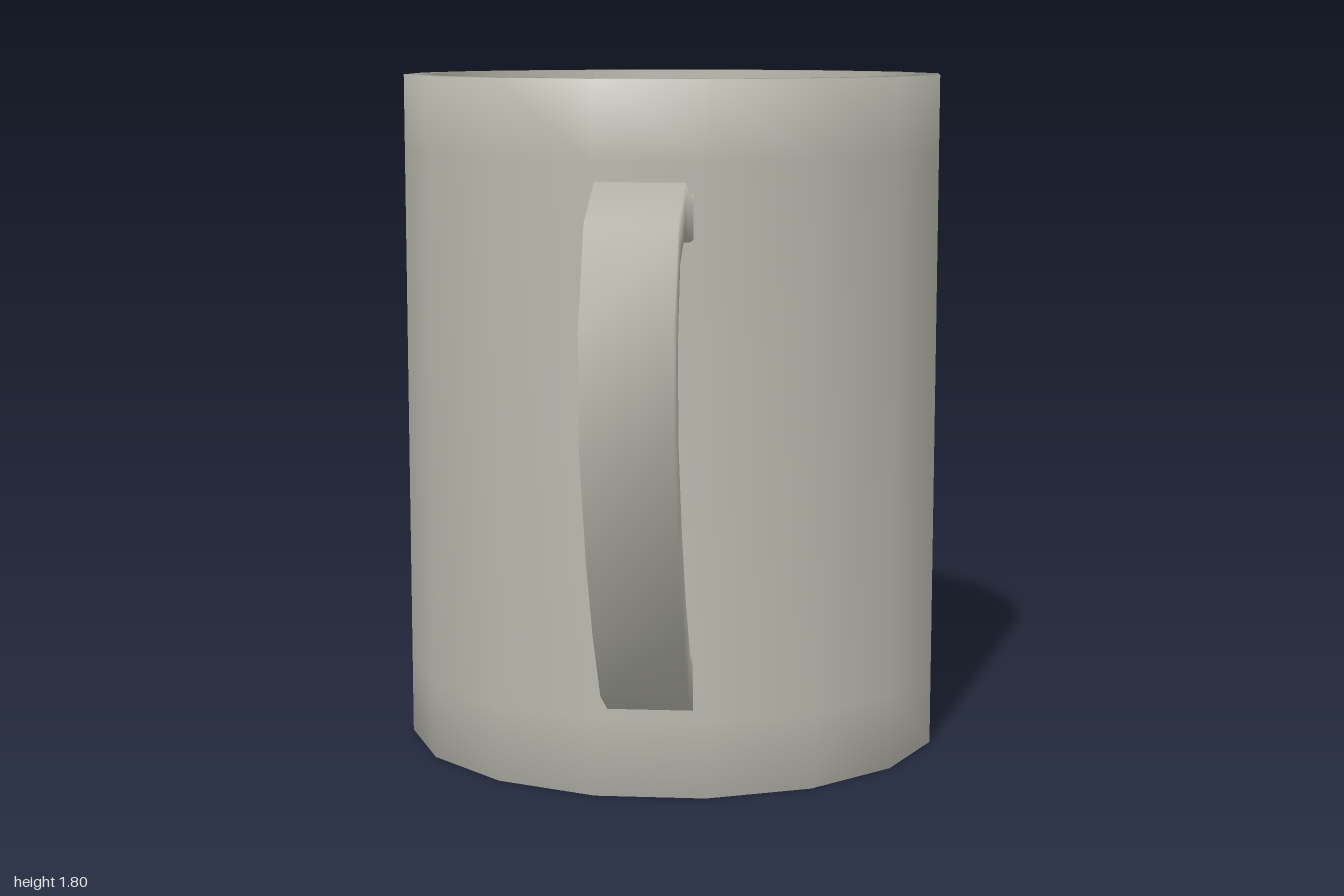
import * as THREE from 'three';
import { mergeVertices } from 'three/addons/utils/BufferGeometryUtils.js';

const ceramic = new THREE.MeshStandardMaterial({ color: 0xb9b8ae });
ceramic.name = 'warm grey ceramic';

// Weld shared corners so the shading runs smoothly over every edge
function smooth(geometry) {
  geometry.deleteAttribute('uv');
  geometry.deleteAttribute('normal');
  const welded = mergeVertices(geometry, 1e-4);
  welded.computeVertexNormals();
  return welded;
}

// Sixteen-sided cup: recessed foot, outer wall, rim, inner wall, floor
function createCup() {
  const outer = 0.725, inner = 0.652, height = 1.8;
  const profile = [
    [0, 0.04], [inner, 0.04], [inner + 0.01, 0], [outer, 0],
    [outer, 0.2], [outer, 1.6], [outer, height],
    [inner, height], [inner, 0.1], [0, 0.1],
  ].map(([r, y]) => new THREE.Vector2(r, y));
  const mesh = new THREE.Mesh(smooth(new THREE.LatheGeometry(profile, 16, Math.PI / 16)), ceramic);
  mesh.name = 'cup';
  mesh.position.z = -0.285;
  return mesh;
}

// Handle: rectangular sections, each given as outer z, y and inner z, y
function createHandle() {
  const sections = [
    [0.40, 1.52, 0.40, 1.41], [0.54, 1.53, 0.555, 1.415], [0.67, 1.565, 0.69, 1.45],
    [0.88, 1.485, 0.83, 1.39], [1.0, 1.25, 0.895, 1.205], [0.985, 0.965, 0.87, 0.97],
    [0.87, 0.70, 0.77, 0.74], [0.74, 0.49, 0.65, 0.555], [0.58, 0.30, 0.52, 0.395],
    [0.40, 0.215, 0.40, 0.335],
  ];
  const half = 0.108;
  const positions = [], index = [];
  sections.forEach(([oz, oy, iz, iy], i) => {
    positions.push(-half, oy, oz, half, oy, oz, half, iy, iz, -half, iy, iz);
    if (i === 0) return;
    for (let k = 0; k < 4; k++) {
      const a = (i - 1) * 4 + k, b = (i - 1) * 4 + (k + 1) % 4;
      index.push(a, a + 4, b, b, a + 4, b + 4);
    }
  });
  const geometry = new THREE.BufferGeometry();
  geometry.setAttribute('position', new THREE.Float32BufferAttribute(positions, 3));
  geometry.setIndex(index);
  geometry.computeVertexNormals();
  const mesh = new THREE.Mesh(geometry, ceramic);
  mesh.name = 'handle';
  return mesh;
}

export function createModel() {
  const mug = new THREE.Group();
  mug.name = 'mug';
  mug.add(createCup(), createHandle());
  return mug;
}
